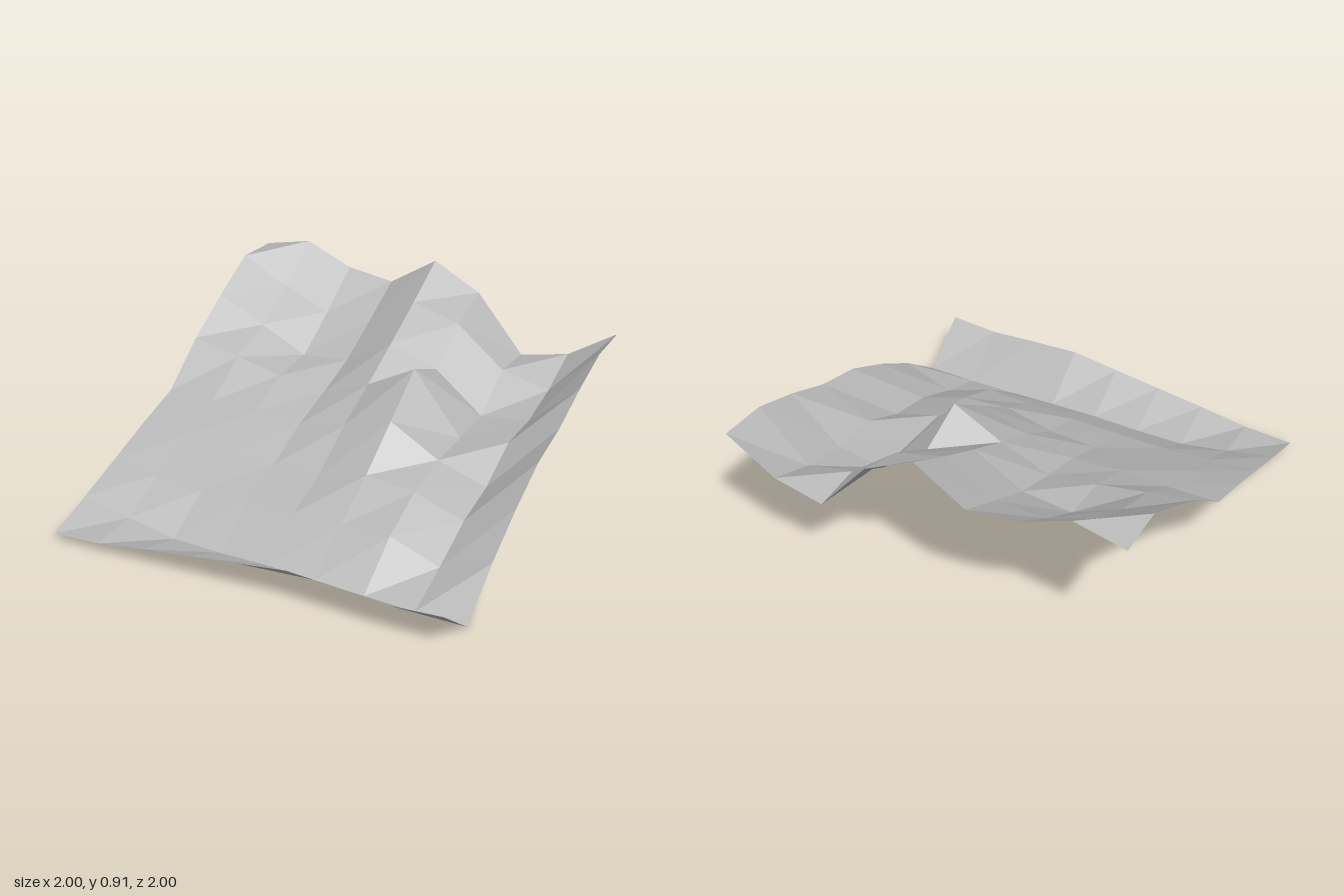
import * as THREE from 'three';

// Ground heights on a 9 x 9 grid: rows run back to front, columns from x = -1 to x = 1
const HEIGHTS = [
  [0.835, 0.89, 0.785, 0.75, 0.91, 0.78, 0.485, 0.54, 0.70],
  [0.845, 0.72, 0.62, 0.62, 0.77, 0.70, 0.50, 0.44, 0.69],
  [0.71, 0.59, 0.47, 0.495, 0.64, 0.55, 0.35, 0.38, 0.61],
  [0.56, 0.505, 0.455, 0.415, 0.515, 0.65, 0.34, 0.375, 0.51],
  [0.365, 0.36, 0.36, 0.345, 0.40, 0.48, 0.335, 0.255, 0.45],
  [0.29, 0.28, 0.26, 0.24, 0.25, 0.31, 0.285, 0.20, 0.33],
  [0.205, 0.18, 0.16, 0.16, 0.165, 0.17, 0.18, 0.09, 0.185],
  [0.12, 0.065, 0.02, 0.015, 0.02, 0.015, 0.005, 0, 0],
  [0.04, 0.055, 0.095, 0.13, 0.165, 0.20, 0.19, 0.175, 0.195],
];

export function createModel() {
  const group = new THREE.Group();
  group.name = 'terrain';

  const rock = new THREE.MeshStandardMaterial({
    name: 'rock grey', color: 0xb8b8b8, flatShading: true, side: THREE.DoubleSide,
  });

  // Flat sheet laid down, then every grid point lifted to its height
  const cells = HEIGHTS.length - 1;
  const sheet = new THREE.PlaneGeometry(2, 2, cells, cells).rotateX(-Math.PI / 2);
  const position = sheet.attributes.position;
  HEIGHTS.flat().forEach((height, i) => position.setY(i, height));

  // Separate facets for crisp low-poly shading
  const facets = sheet.toNonIndexed();
  facets.computeVertexNormals();

  const ground = new THREE.Mesh(facets, rock);
  ground.name = 'hillside';
  group.add(ground);
  return group;
}
